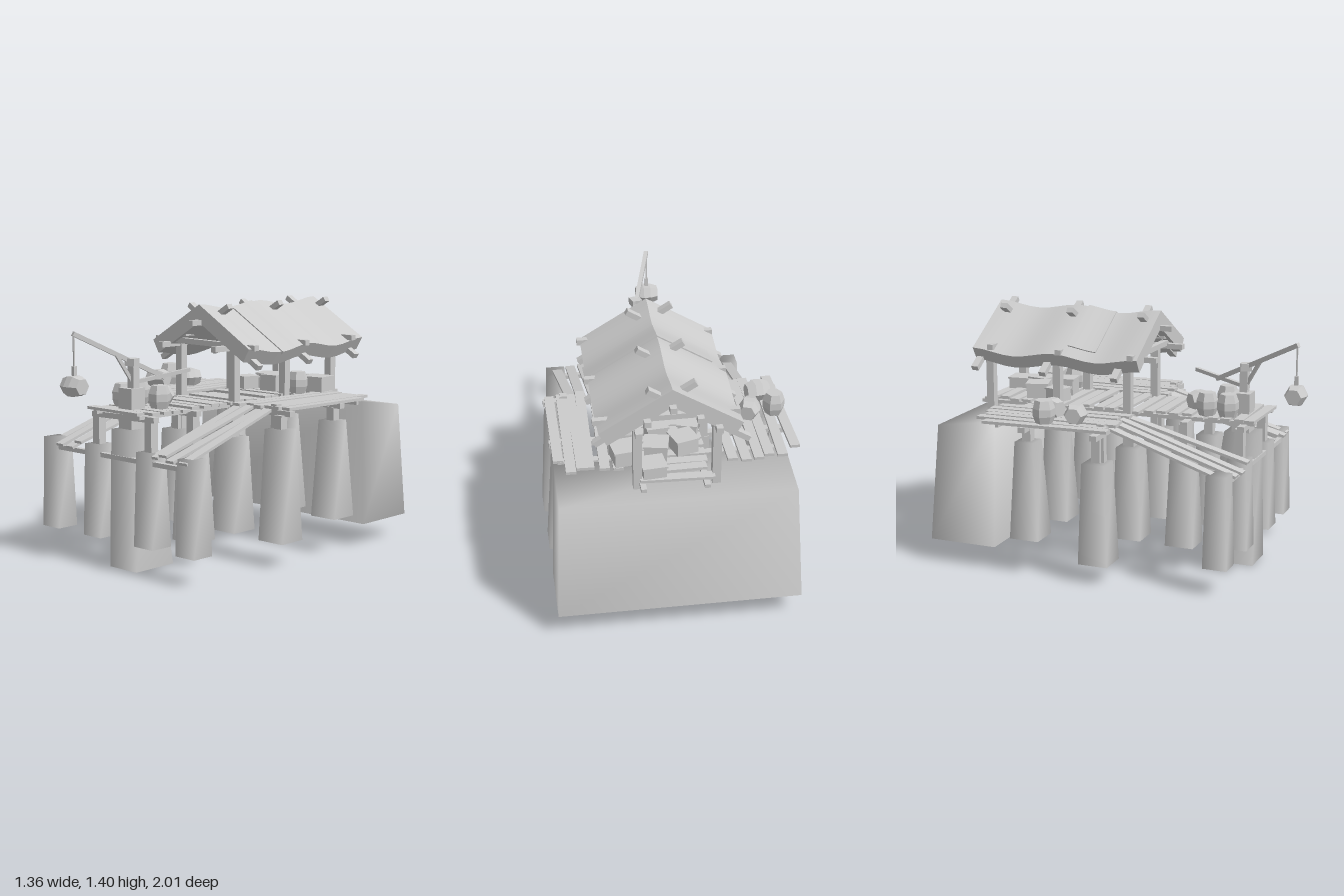
import * as THREE from 'three';
import { mergeVertices, toCreasedNormals } from 'three/addons/utils/BufferGeometryUtils.js';

const solid = new THREE.MeshStandardMaterial({ color: 0xcccccc });
const faceted = new THREE.MeshStandardMaterial({ color: 0xcccccc, flatShading: true });
const open = new THREE.MeshStandardMaterial({ color: 0xcccccc, side: THREE.DoubleSide });

export function createModel() {
  const root = new THREE.Group();
  let seed = 7;
  const jitter = (amount) => {
    seed = (seed * 16807) % 2147483647;
    return (seed / 2147483647 - 0.5) * 2 * amount;
  };
  const V = (p) => new THREE.Vector3(...p);

  function add(name, geometry, material = solid, parent = root) {
    const mesh = new THREE.Mesh(geometry, material);
    mesh.name = name;
    parent.add(mesh);
    return mesh;
  }
  function group(name) {
    const g = new THREE.Group();
    g.name = name;
    root.add(g);
    return g;
  }
  // Straight timber between two points
  function bar(name, a, b, w, h, parent) {
    const m = add(name, new THREE.BoxGeometry(w, h, V(a).distanceTo(V(b))), solid, parent);
    m.position.copy(V(a).add(V(b)).multiplyScalar(0.5));
    m.lookAt(V(b));
    return m;
  }
  function box(name, x, y, z, w, h, d, parent, turn = 0) {
    const m = add(name, new THREE.BoxGeometry(w, h, d), solid, parent);
    m.position.set(x, y, z);
    m.rotation.y = turn;
    return m;
  }
  // Soft-shaded box with an open underside, its corners moved by a rule
  function softBlock(name, rule, parent) {
    let g = new THREE.BoxGeometry(1, 1, 1);
    const idx = Array.from(g.index.array);
    idx.splice(18, 6);
    g.setIndex(idx);
    g.deleteAttribute('uv');
    g.deleteAttribute('normal');
    g = mergeVertices(g);
    const p = g.attributes.position;
    for (let i = 0; i < p.count; i++) p.setXYZ(i, ...rule(p.getX(i), p.getY(i) > 0, p.getZ(i)));
    g.computeVertexNormals();
    return add(name, g, open, parent);
  }

  // Shore block at the back
  softBlock('shoreBlock', (x, up, z) => [
    up ? 0.02 + x * 1.24 : 0.015 + x * 1.31,
    up ? (z > 0 ? 0.84 : 0.79) : 0.13,
    z > 0 ? -0.6 : up ? -0.955 : -1,
  ]);

  // Tapered piers: x, z, bottom y, top y, bottom width, top width
  const piers = group('piers');
  const pierList = [
    [-0.515, 0.67, 0.15, 0.66, 0.135, 0.11], [0.54, 0.67, 0.15, 0.66, 0.135, 0.11],
    [-0.17, 0.67, 0.15, 0.66, 0.135, 0.11], [0.235, 0.67, 0.15, 0.66, 0.14, 0.11],
    [-0.19, 0.355, 0.135, 0.67, 0.165, 0.12], [0.235, 0.355, 0.135, 0.67, 0.165, 0.12],
    [-0.57, 0.0, 0.105, 0.67, 0.17, 0.13], [0.59, 0.04, 0.135, 0.75, 0.17, 0.12],
    [-0.19, 0.04, 0.14, 0.67, 0.17, 0.13], [0.24, 0.04, 0.14, 0.67, 0.17, 0.13],
    [-0.57, -0.41, 0.2, 0.75, 0.17, 0.11], [0.59, -0.41, 0.2, 0.75, 0.17, 0.11],
    [-0.19, -0.41, 0.2, 0.75, 0.17, 0.11], [0.24, -0.41, 0.2, 0.75, 0.17, 0.11],
  ];
  pierList.forEach(([x, z, y0, y1, wb, wt], i) => {
    softBlock('pier', (px, up, pz) => [
      x + px * (up ? wt : wb) - (up ? 0.008 : 0),
      up ? y1 : y0,
      z + pz * (up ? wt : wb),
    ], piers);
    if (i > 1) box('pierPost', x - 0.005, (y1 + 0.75) / 2, z, 0.05, 0.9 - y1, 0.05, piers);
  });
  softBlock('cranePier', (px, up, pz) => [
    up ? 0.035 + px * 0.14 : 0.052 + px * 0.205,
    up ? 0.76 : 0,
    up ? 0.62 + pz * 0.18 : 0.575 + pz * 0.28,
  ], piers);

  // Beams carrying the deck
  const deck = group('deck');
  for (const [z, x0, x1] of [[0.68, -0.2, 0.28], [0.36, -0.22, 0.28], [0.02, -0.68, 0.65], [-0.41, -0.66, 0.65], [-0.6, -0.6, 0.62]])
    bar('deckBeam', [x0, 0.825, z], [x1, 0.835, z], 0.04, 0.03, deck);
  for (const x of [-0.13, 0.2]) bar('deckJoist', [x, 0.845, 0.74], [x, 0.835, -0.92], 0.03, 0.02, deck);
  bar('lowBeam', [-0.54, 0.61, 0.7], [0.57, 0.605, 0.7], 0.03, 0.025, deck);

  // Cross planks down the middle
  for (let i = 0; i < 22; i++) {
    const z = 0.725 - i * 0.075;
    box('crossPlank', 0.035 + jitter(0.02), 0.86 + jitter(0.006), z, 0.41 + jitter(0.03), 0.015, 0.056, deck, jitter(0.04));
  }
  // Long planks on both sides
  for (const x of [-0.64, -0.575, -0.505, -0.43, -0.36, -0.29, 0.3, 0.37, 0.45, 0.495, 0.555, 0.61]) {
    const z0 = 0.06 + jitter(0.03), z1 = (x === -0.64 || x === 0.61 ? -0.63 : -0.72) + jitter(0.02);
    bar('sidePlank', [x + jitter(0.012), 0.86, z0], [x + jitter(0.012), 0.853, z1], 0.054, 0.016, deck);
  }
  // Sloping gangplanks
  const ramps = group('gangplanks');
  for (const [x0, x1] of [[-0.49, -0.52], [-0.42, -0.43], [-0.335, -0.34], [-0.26, -0.265], [0.29, 0.3], [0.36, 0.37], [0.43, 0.44], [0.49, 0.525]])
    bar('gangplank', [x0, 0.853, jitter(0.05)], [x1, 0.645 + jitter(0.02), 0.73 + jitter(0.02)], 0.056, 0.015, ramps);
  for (const x of [-0.56, 0.535]) box('mooringPost', x, 0.77, 0.02, 0.04, 0.22, 0.04, deck);

  // Roof frame: posts, plates, ties and crossing rafters
  const frame = group('roofFrame');
  for (const z of [0.02, -0.41, -0.83]) {
    for (const x of [-0.187, 0.225]) box('roofPost', x, 0.68, z, 0.045, 0.97, 0.045, frame);
    bar('tieBeam', [-0.315, 1.19, z + 0.06], [0.445, 1.18, z + 0.06], 0.035, 0.03, frame);
    bar('rafter', [-0.35, 1.07, z - 0.02], [0.175, 1.39, z - 0.02], 0.04, 0.03, frame);
    bar('rafter', [0.44, 1.07, z + 0.03], [-0.08, 1.39, z + 0.03], 0.04, 0.03, frame);
  }
  for (const [x, y] of [[-0.187, 1.165], [0.225, 1.165], [-0.09, 1.23], [0.18, 1.23], [0.05, 1.3]])
    bar('purlin', [x, y, y === 1.23 ? 0.1 : 0.19], [x, y, -0.92], 0.035, 0.03, frame);

  // Sagging gable sheet
  function gable(name, xl, xr, lift, t, z0, z1) {
    const top = (x) => 1.4 + lift - 0.6 * Math.abs(x - 0.05);
    const s = new THREE.Shape([
      [xl, top(xl)], [xl + t * 0.51, top(xl) - t * 0.86], [0.05, 1.4 + lift - t * 1.17],
      [xr - t * 0.51, top(xr) - t * 0.86], [xr, top(xr)], [0.05, 1.4 + lift],
    ].map((p) => new THREE.Vector2(...p)));
    const g = new THREE.ExtrudeGeometry(s, { depth: z1 - z0, steps: 16, bevelEnabled: false });
    g.translate(0, 0, z0);
    const p = g.attributes.position;
    for (let i = 0; i < p.count; i++)
      p.setY(i, p.getY(i) - 0.032 * Math.sin((Math.PI * (p.getZ(i) - 0.12)) / 0.5) ** 2);
    return add(name, toCreasedNormals(g, 0.6));
  }
  gable('roof', -0.315, 0.425, 0, 0.085, -0.88, 0.12);
  gable('roofPatch', -0.25, 0.437, 0.008, 0.02, -0.32, -0.15);

  // Crane on the front pier
  const crane = group('crane');
  box('craneBase', 0.03, 0.86, 0.62, 0.1, 0.24, 0.1, crane);
  box('craneMast', 0.045, 1.03, 0.62, 0.045, 0.22, 0.045, crane);
  box('mastCap', 0.045, 1.12, 0.63, 0.06, 0.04, 0.06, crane, 0.3);
  bar('boom', [-0.062, 1.285, 0.95], [0.1, 1.025, 0.44], 0.024, 0.024, crane);
  bar('boomBrace', [0.045, 1.0, 0.62], [0.015, 1.17, 0.72], 0.018, 0.018, crane);
  bar('craneLever', [0.045, 1.01, 0.62], [0.15, 1.06, 0.3], 0.024, 0.02, crane);
  bar('rope', [-0.062, 1.28, 0.945], [-0.062, 1.1, 0.945], 0.008, 0.008, crane);
  box('hook', -0.062, 1.09, 0.945, 0.02, 0.05, 0.02, crane);

  // Six-sided barrels: x, y, z, and for lying ones the heading of the axis
  const barrelGeo = new THREE.LatheGeometry(
    [[0, -0.065], [0.045, -0.065], [0.061, -0.02], [0.061, 0.02], [0.045, 0.065], [0, 0.065]].map((p) => new THREE.Vector2(...p)), 6);
  const barrels = group('barrels');
  for (const [x, y, z, heading] of [
    [-0.6, 0.925, -0.3], [-0.46, 0.915, -0.32, 1.2], [-0.54, 0.915, -0.14, 0.15],
    [-0.09, 0.925, 0.45], [-0.09, 0.925, 0.57], [0.02, 0.915, 0.37, -0.7], [0.12, 0.925, 0.5],
    [0.25, 0.925, -0.5], [-0.062, 1.01, 0.945, 0],
  ]) {
    const b = add('barrel', barrelGeo, faceted, barrels);
    b.position.set(x, y, z);
    b.rotation.order = 'YZX';
    if (heading !== undefined) b.rotation.set(0, heading, Math.PI / 2);
    else b.rotation.y = Math.PI / 6;
  }

  // Crates under the roof
  const crates = group('crates');
  for (const [x, z, w, h, turn] of [
    [0.27, -0.66, 0.13, 0.08, 0.15], [0.1, -0.64, 0.12, 0.08, -0.2], [-0.05, -0.6, 0.12, 0.08, 0.3],
    [0.08, -0.48, 0.11, 0.09, 0.1], [-0.1, -0.45, 0.1, 0.07, -0.3], [0.14, -0.8, 0.12, 0.06, 0.1],
  ]) {
    box('crate', x, 0.865 + h / 2, z, w, h, w, crates, turn);
    box('crateLid', x, 0.868 + h, z, w + 0.012, 0.01, w + 0.012, crates, turn);
  }
  return root;
}
